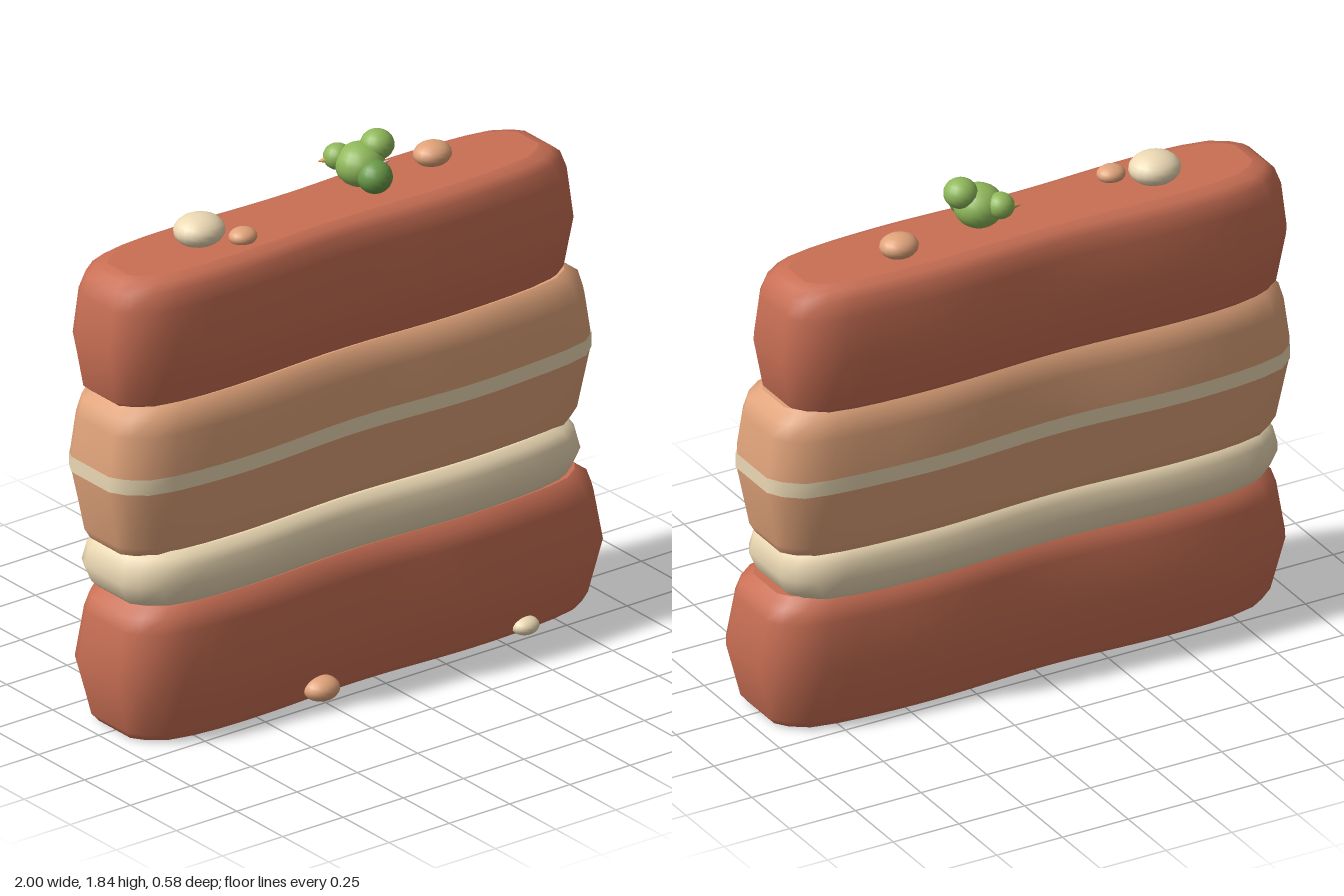
import * as THREE from 'three';

const RED = 0xc96f54, TAN = 0xe0a37a, CREAM = 0xecd9b4, GREEN = 0x8fb85a, DARK_GREEN = 0x6a9a48;

// Plan outline of a slab: chamfered ends and gently waving long sides
function outline(L, W) {
  const half = [[L, 0.45 * W], [L - 0.03, 0.68 * W], [L - 0.09, 0.9 * W], [L - 0.18, 0.98 * W]];
  const n = 20, s = L - 0.27;
  for (let i = 0; i <= n; i++) half.push([s - (2 * s * i) / n, W]);
  half.push([-L + 0.18, 0.98 * W], [-L + 0.09, 0.9 * W], [-L + 0.03, 0.68 * W], [-L, 0.45 * W]);
  const all = [...half, ...half.map(([x, z]) => [-x, -z])];
  return all.map(([x, z]) => [x, z * (1 - 0.045 * (1 - Math.cos((2 * Math.PI * (x - 0.42)) / 0.95)))]);
}

// Stacks outlines along a profile of [height, inset]
function slab(name, color, { L, W, x, z }, profile, capped = true) {
  const pos = [], idx = [];
  const rings = profile.map(([y, inset]) =>
    outline(L - inset, W - inset * 0.8).map(([px, pz]) => [px + x, y, pz + z]));
  const n = rings[0].length;
  rings.forEach((ring) => ring.forEach((p) => pos.push(...p)));
  for (let r = 0; r < rings.length - 1; r++) {
    for (let i = 0; i < n; i++) {
      const a = r * n + i, b = r * n + ((i + 1) % n);
      idx.push(a, a + n, b, b, a + n, b + n);
    }
  }
  // Separate cap vertices keep the top and bottom rims crisp
  const cap = (ring, up) => {
    const c = pos.length / 3;
    pos.push(x, ring[0][1], z);
    ring.forEach((p) => pos.push(...p));
    for (let i = 0; i < n; i++) {
      const a = c + 1 + i, b = c + 1 + ((i + 1) % n);
      idx.push(c, up ? b : a, up ? a : b);
    }
  };
  if (capped) {
    cap(rings[0], false);
    cap(rings[rings.length - 1], true);
  }
  const geo = new THREE.BufferGeometry();
  geo.setAttribute('position', new THREE.Float32BufferAttribute(pos, 3));
  geo.setIndex(idx);
  geo.computeVertexNormals();
  const mesh = new THREE.Mesh(geo, new THREE.MeshStandardMaterial({ color }));
  mesh.name = name;
  return mesh;
}

function blob(name, color, [x, y, z], [rx, ry, rz]) {
  const mesh = new THREE.Mesh(new THREE.SphereGeometry(1, 18, 12), new THREE.MeshStandardMaterial({ color }));
  mesh.position.set(x, y, z);
  mesh.scale.set(rx, ry, rz);
  mesh.name = name;
  return mesh;
}

function bud(name, color, [x, y, z], dir) {
  const mesh = new THREE.Mesh(new THREE.ConeGeometry(0.014, 0.04, 8), new THREE.MeshStandardMaterial({ color }));
  mesh.position.set(x, y, z);
  mesh.quaternion.setFromUnitVectors(new THREE.Vector3(0, 1, 0), new THREE.Vector3(...dir).normalize());
  mesh.name = name;
  return mesh;
}

export function createModel() {
  const group = new THREE.Group();
  group.name = 'layeredRockWall';

  // Rock strata, bottom to top
  const middle = { L: 0.993, W: 0.245, x: -0.007, z: -0.043 };
  group.add(
    slab('bottomLayer', RED, { L: 1, W: 0.264, x: 0, z: -0.006 },
      [[0, 0.07], [0.03, 0.045], [0.22, 0], [0.4, 0.028], [0.45, 0.045], [0.48, 0.085]]),
    slab('creamLayer', CREAM, { L: 0.947, W: 0.247, x: -0.018, z: -0.024 },
      [[0.475, 0.05], [0.5, 0.025], [0.56, 0], [0.62, 0.015], [0.65, 0.035], [0.665, 0.07]]),
    slab('middleLayer', TAN, middle,
      [[0.655, 0.06], [0.69, 0.04], [0.905, 0], [0.96, 0], [1.1, 0.018], [1.16, 0.035], [1.19, 0.08]]),
    slab('middleStripe', CREAM, { ...middle, L: 0.996, W: 0.248 }, [[0.905, 0], [0.96, 0]], false),
    slab('topLayer', RED, { L: 0.96, W: 0.229, x: -0.025, z: -0.058 },
      [[1.18, 0.06], [1.205, 0.03], [1.38, 0], [1.54, 0.018], [1.6, 0.04], [1.625, 0.07], [1.637, 0.11]]),
  );

  // Loose stones on the top and at the foot
  const stones = [
    [CREAM, [-0.53, 1.68, -0.07], [0.09, 0.055, 0.082]],
    [TAN, [-0.41, 1.652, 0.01], [0.05, 0.03, 0.045]],
    [TAN, [0.46, 1.668, -0.1], [0.068, 0.042, 0.06]],
    [TAN, [-0.25, 0.045, 0.227], [0.065, 0.042, 0.058]],
    [CREAM, [0.6, 0.032, 0.22], [0.05, 0.031, 0.045]],
  ];
  stones.forEach(([c, p, r], i) => group.add(blob(`stone${i + 1}`, c, p, r)));

  // Small shrub with buds
  const shrub = new THREE.Group();
  shrub.name = 'shrub';
  const leaves = [
    [GREEN, [0.145, 1.725, -0.08], 0.085, 0.075],
    [DARK_GREEN, [0.145, 1.708, 0], 0.06, 0.057],
    [GREEN, [0.208, 1.783, -0.07], 0.058, 0.052],
    [GREEN, [0.1, 1.742, -0.145], 0.048, 0.045],
  ];
  leaves.forEach(([c, p, r, ry], i) => shrub.add(blob(`leafBall${i + 1}`, c, p, [r, ry, r])));
  shrub.add(
    bud('yellowBud', 0xe0a85a, [0.05, 1.735, -0.16], [-1, 0, -0.2]),
    bud('pinkBud', 0xd99a90, [0.185, 1.75, 0.005], [0.4, 0.6, 0.6]),
  );
  group.add(shrub);
  return group;
}
